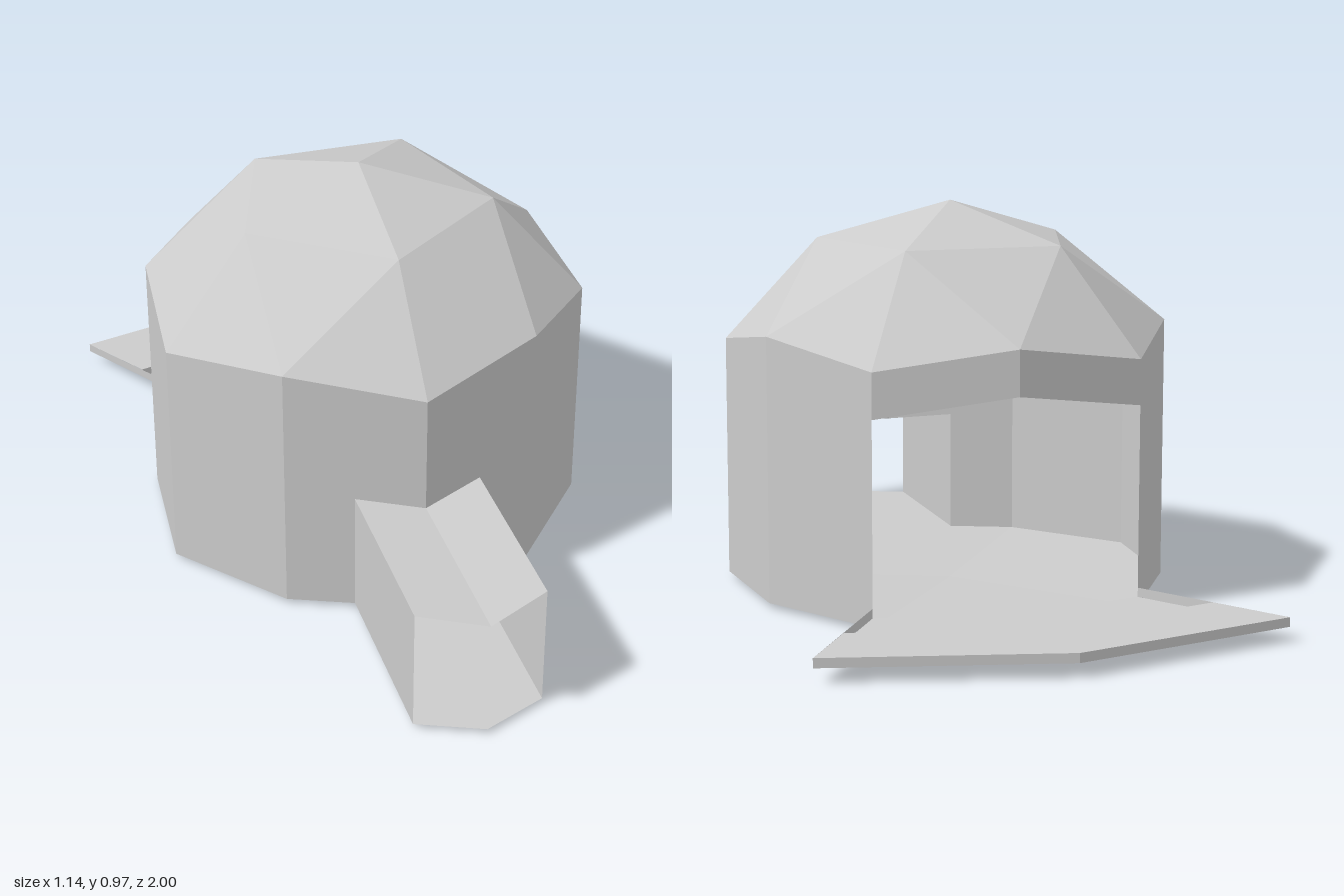
import * as THREE from 'three';

const material = new THREE.MeshStandardMaterial({ color: 0xcccccc, flatShading: true, side: THREE.DoubleSide });

// Thin-sheet mesh from polygons, each a counter-clockwise convex loop of [x, y, z] points
function sheet(name, polygons) {
  const pos = [];
  for (const p of polygons) {
    for (let i = 1; i < p.length - 1; i++) pos.push(...p[0], ...p[i], ...p[i + 1]);
  }
  const geo = new THREE.BufferGeometry();
  geo.setAttribute('position', new THREE.Float32BufferAttribute(pos, 3));
  geo.computeVertexNormals();
  const mesh = new THREE.Mesh(geo, material);
  mesh.name = name;
  return mesh;
}

const at = ([x, , z], y) => [x, y, z];

// Vertical strips along a path, between two heights
function strips(path, y0, y1) {
  return path.slice(1).map((b, i) => {
    const a = path[i];
    return [at(a, y0), at(b, y0), at(b, y1), at(a, y1)];
  });
}

// Flat strips between two paths of equal length
function bands(inner, outer) {
  return inner.slice(1).map((b, i) => [inner[i], b, outer[i + 1], outer[i]]);
}

export function createModel() {
  const group = new THREE.Group();
  const R = 0.637, CY = 0.336, CZ = -0.045, FLOOR = 0.012;
  const onSphere = (radial, height, turn) => {
    const a = turn * Math.PI / 5;
    return [R * radial * Math.sin(a), CY + R * height, CZ + R * radial * Math.cos(a)];
  };

  // Rim: ten corners alternating in height; crown: five corners; apex
  const rim = [], crown = [];
  for (let i = 0; i < 10; i++) rim.push(i % 2 ? onSphere(0.851, 0.526, i) : onSphere(0.894, 0.447, i));
  for (let i = 0; i < 5; i++) crown.push(onSphere(0.526, 0.851, 2 * i));
  const apex = [0, CY + R, CZ];

  // Faceted dome
  const dome = [];
  for (let i = 0; i < 5; i++) {
    const c = crown[i], next = crown[(i + 1) % 5];
    const before = rim[(2 * i + 9) % 10], here = rim[2 * i], after = rim[2 * i + 1];
    dome.push([apex, c, next], [c, before, here], [c, here, after], [c, after, next]);
  }
  group.add(sheet('dome', dome));

  // Doorway corners in the two front panels
  const DX = 0.16, SIDE_TOP = 0.33, MID_TOP = 0.315;
  const t = DX / rim[1][0];
  const doorZ = rim[0][2] + (rim[1][2] - rim[0][2]) * t;
  const jambTopY = rim[0][1] + (rim[1][1] - rim[0][1]) * t;

  // Plain side panels
  const walls = [];
  for (const i of [1, 2, 3, 6, 7, 8]) {
    const a = rim[i], b = rim[i + 1];
    walls.push([at(a, FLOOR), at(b, FLOOR), b, a]);
  }
  // Front panels around the doorway
  for (const s of [1, -1]) {
    const corner = rim[s > 0 ? 1 : 9];
    const jamb = [s * DX, jambTopY, doorZ];
    const panels = [
      [at(jamb, FLOOR), at(corner, FLOOR), corner, jamb],
      [at(rim[0], MID_TOP), at(jamb, SIDE_TOP), jamb, rim[0]],
    ];
    walls.push(...panels.map((p) => (s > 0 ? p : p.reverse())));
  }
  group.add(sheet('walls', walls));

  // Lintel over the wide rear opening
  const DROP = 0.112;
  group.add(sheet('rearLintel', [4, 5].map((i) => {
    const a = rim[i], b = rim[i + 1];
    return [at(a, a[1] - DROP), at(b, b[1] - DROP), b, a];
  })));

  // Shallow dished floor
  group.add(sheet('floor', rim.map((a, i) => [[0, 0, CZ], at(rim[(i + 1) % 10], FLOOR), at(a, FLOOR)])));

  // Entrance tunnel with a slightly creased roof and pointed mouth
  const MOUTH = 0.933, TIP = 1.0;
  const tunnel = [];
  for (const s of [1, -1]) {
    const roof = [
      [0, MID_TOP, rim[0][2]], [0, MID_TOP, TIP], [s * DX, SIDE_TOP, MOUTH], [s * DX, SIDE_TOP, doorZ],
    ];
    const base = roof.map((p) => at(p, FLOOR)).reverse();
    const side = [
      [s * DX, FLOOR, MOUTH], [s * DX, FLOOR, doorZ], [s * DX, SIDE_TOP, doorZ], [s * DX, SIDE_TOP, MOUTH],
    ];
    tunnel.push(...[roof, base, side].map((p) => (s > 0 ? p : p.reverse())));
  }
  group.add(sheet('entranceTunnel', tunnel));

  // Flared rear steps, rising outward
  const S1 = 0.035, S2 = 0.058;
  const threshold = [rim[4], rim[5], rim[6]];
  const flare = (x, zSide, zMid, y) => [[x, y, zSide], [0, y, zMid], [-x, y, zSide]];
  const middle = flare(0.453, -0.688, -0.8, S1);
  const outer = flare(0.57, -0.865, -1.0, S2);
  group.add(sheet('stepTreads', [
    ...bands(threshold.map((p) => at(p, S1)), middle),
    ...bands(middle.map((p) => at(p, S2)), outer),
  ]));
  group.add(sheet('stepRisers', [
    ...strips(threshold, FLOOR, S1),
    ...strips(middle, S1, S2),
    ...strips(outer, S1, S2),
  ]));
  group.add(sheet('stepSides', [
    ...strips([outer[0], threshold[0]], S1, S2),
    ...strips([threshold[2], outer[2]], S1, S2),
  ]));

  return group;
}
